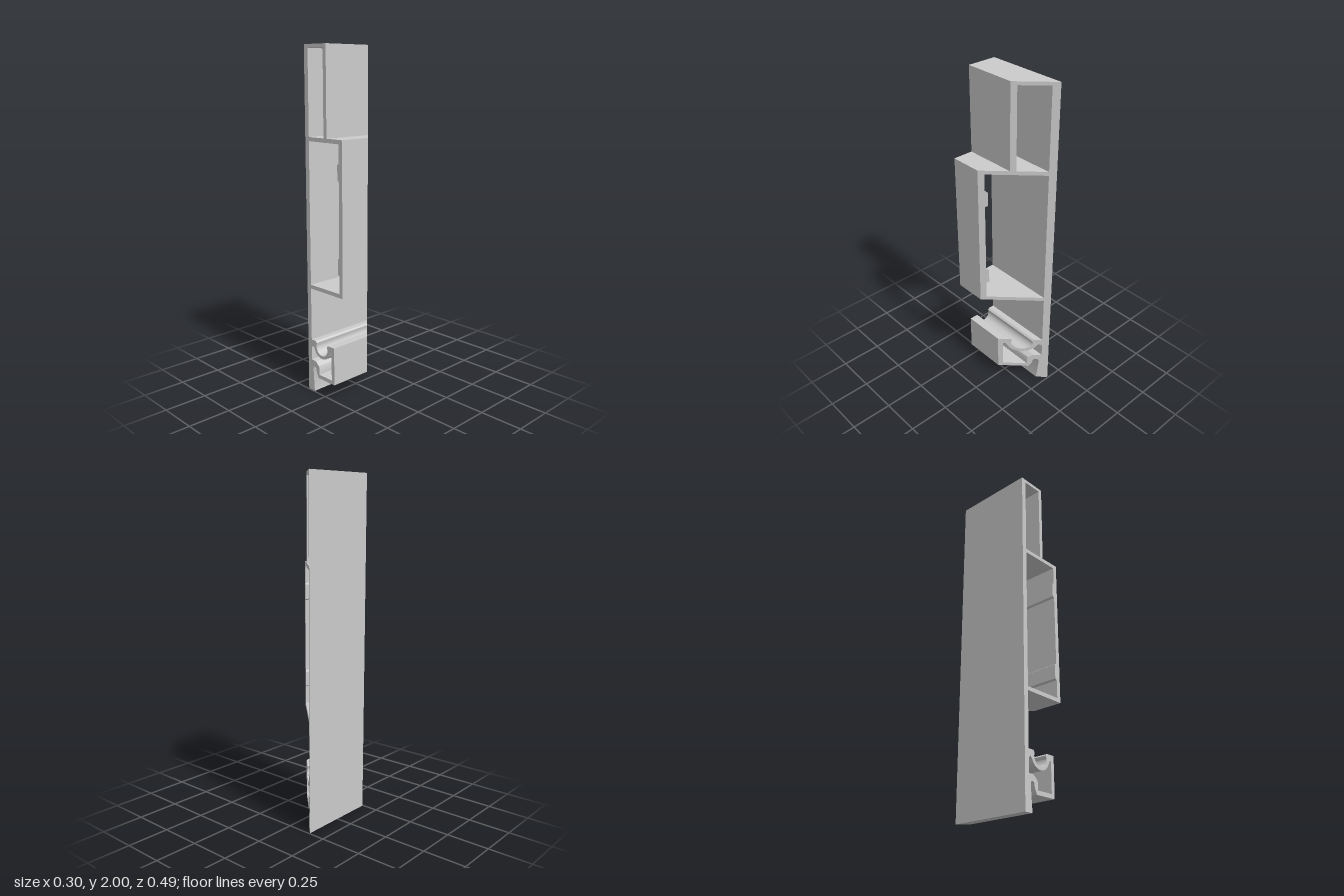
import * as THREE from 'three';
import { toCreasedNormals } from 'three/addons/utils/BufferGeometryUtils.js';

const FRONT = 0.245;        // square-cut end
const MITRE = -0.095;       // 45 degree end lies on z = x + MITRE

const points = (list) => list.map(([x, y]) => new THREE.Vector2(x, y));

// Points along an arc, angles in degrees
function arc(cx, cy, r, from, to, steps = 14) {
  return Array.from({ length: steps + 1 }, (_, i) => {
    const a = THREE.MathUtils.degToRad(from + (to - from) * i / steps);
    return [cx + r * Math.cos(a), cy + r * Math.sin(a)];
  });
}

const rect = (x0, y0, x1, y1) => [[x0, y0], [x0, y1], [x1, y1], [x1, y0]];

function profileShape() {
  // Outer outline, counter-clockwise from the bottom left corner
  const shape = new THREE.Shape(points([
    [-0.15, 0], [-0.098, 0],
    // gasket slot between the drip leg and the hooked chamber
    [-0.108, 0.14], ...arc(-0.094, 0.145, 0.013, 180, 0, 8),
    [-0.077, 0.125], [-0.062, 0.095],
    // lower chamber
    [0.075, 0.095], [0.075, 0.32], [0.022, 0.32], [0.012, 0.31],
    // round groove
    ...arc(-0.03, 0.292, 0.049, 0, -180),
    [-0.075, 0.31], [-0.085, 0.32], [-0.12, 0.32],
    // stepped upper boxes
    [-0.12, 0.633], [0.148, 0.633], [0.148, 1.505],
    [0.026, 1.505], [0.026, 2], [-0.15, 2],
  ]));

  // Narrow top box
  const topBox = rect(-0.12, 1.505, 0.002, 1.98);

  // Wide middle box with two thickened pads on its right wall
  const pad = (y0, y1) => [[0.122, y0], [0.11, y0 + 0.008], [0.11, y1 - 0.008], [0.122, y1]];
  const middleBox = [
    [-0.12, 0.656], [0.122, 0.656],
    ...pad(0.76, 0.86), ...pad(1.28, 1.38),
    [0.122, 1.482], [-0.12, 1.482],
  ];

  // Void of the lower chamber, curving under the groove
  const lowerVoid = [
    [-0.055, 0.118], [0.053, 0.118], [0.053, 0.285], [0.043, 0.285],
    ...arc(-0.03, 0.292, 0.068, -20, -160),
    [-0.106, 0.285], [-0.12, 0.275], [-0.12, 0.195],
    [-0.085, 0.192], [-0.06, 0.172], [-0.055, 0.16],
  ];

  for (const hole of [topBox, middleBox, lowerVoid]) {
    shape.holes.push(new THREE.Path(points(hole)));
  }
  return shape;
}

export function createModel() {
  const group = new THREE.Group();
  group.name = 'mitredFrameProfile';

  const geometry = new THREE.ExtrudeGeometry(profileShape(), { depth: 1, bevelEnabled: false });

  // Square front end, mitred back end
  const pos = geometry.attributes.position;
  for (let i = 0; i < pos.count; i++) {
    pos.setZ(i, pos.getZ(i) > 0.5 ? FRONT : pos.getX(i) + MITRE);
  }

  const profile = new THREE.Mesh(
    toCreasedNormals(geometry, Math.PI / 7),
    new THREE.MeshStandardMaterial({ color: 0xcccccc }),
  );
  profile.name = 'extrudedProfile';
  group.add(profile);
  return group;
}
